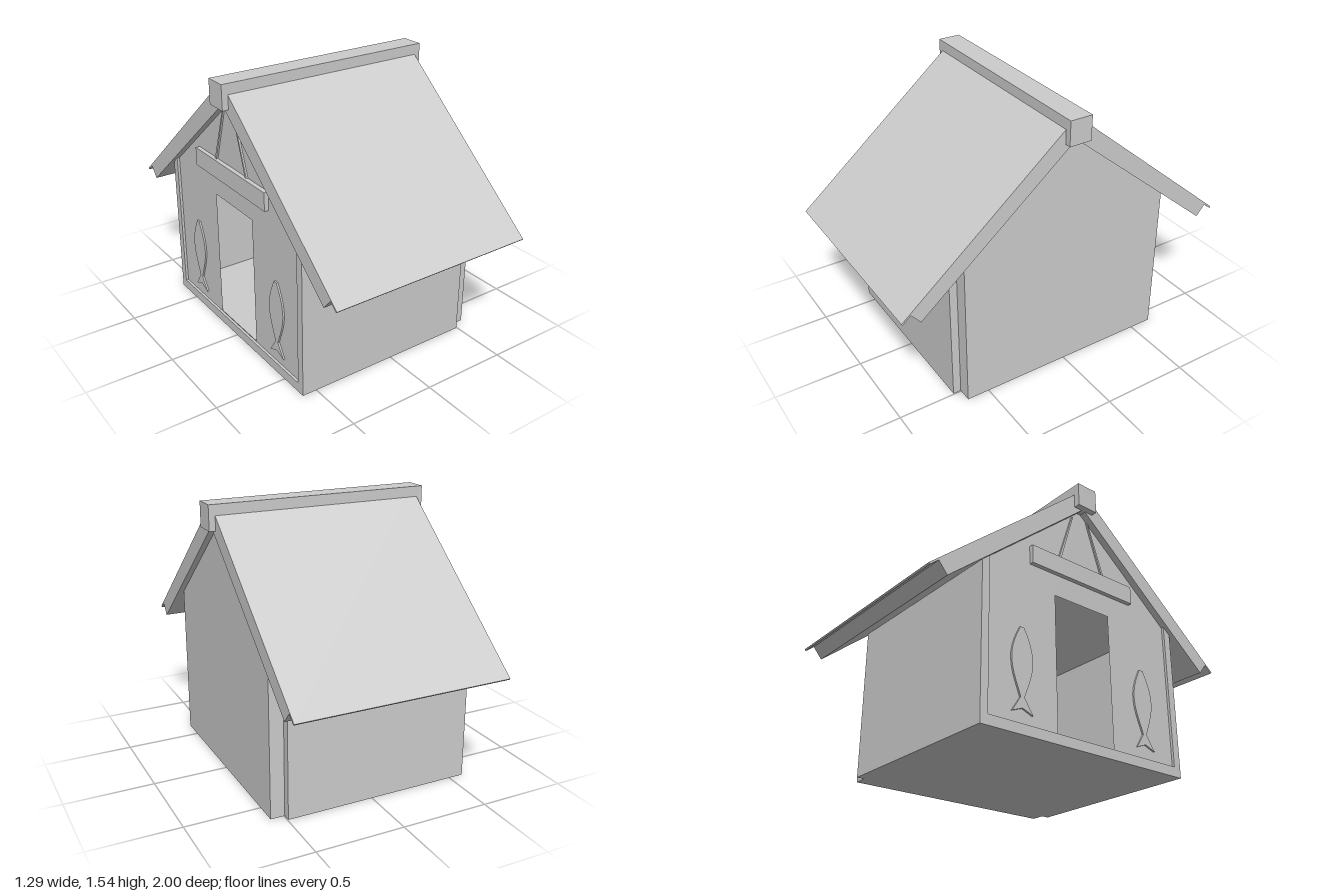
import * as THREE from 'three';

const SLOPE = 0.83, APEX = 1.41;            // underside of the roof
const roofY = z => APEX - SLOPE * Math.abs(z);

export function createModel() {
  const house = new THREE.Group();
  house.name = 'petHouse';
  const mat = new THREE.MeshStandardMaterial({ color: 0xcccccc, flatShading: true });

  const add = (name, geo) => {
    const m = new THREE.Mesh(geo, mat);
    m.name = name;
    house.add(m);
    return m;
  };
  // Extrudes a [z, y] outline along x from x0 to x1
  const toVecs = pts => pts.map(([z, y]) => new THREE.Vector2(-z, y));
  const slab = (name, pts, x0, x1, holes = []) => {
    const shape = new THREE.Shape(toVecs(pts));
    holes.forEach(h => shape.holes.push(new THREE.Path(toVecs(h))));
    const geo = new THREE.ExtrudeGeometry(shape, { depth: x1 - x0, bevelEnabled: false });
    geo.rotateY(Math.PI / 2).translate(x0, 0, 0);
    return add(name, geo);
  };
  const rect = (z0, z1, y0, y1) => [[z0, y0], [z1, y0], [z1, y1], [z0, y1]];
  const gable = y0 => [[-0.63, y0], [0.63, y0], [0.63, roofY(0.63)], [0, APEX], [-0.63, roofY(0.63)]];

  // Floor and the two gable walls
  slab('floor', rect(-0.63, 0.63, 0, 0.055), -0.585, 0.495);
  slab('plainGableWall', gable(0), 0.495, 0.575);
  slab('doorGableWall', gable(0.055), -0.57, -0.52, [rect(-0.19, 0.19, 0.06, 0.82)]);

  // Fish outline, tail down, thin relief beside the door
  const fish = zc => {
    const side = [];
    for (let i = 0; i <= 10; i++) {
      const t = i / 10;
      side.push([0.012 + 0.055 * Math.sin(Math.PI * Math.pow(t, 1.1)), 0.19 + 0.37 * t]);
    }
    const half = [[0, 0.135], [0.065, 0.11], ...side];
    const mirrored = half.slice(1).reverse().map(([z, y]) => [-z, y]);
    return [...half, ...mirrored].map(([z, y]) => [zc + z, y]);
  };

  for (const s of [1, -1]) {
    const flip = pts => pts.map(([z, y]) => [s * z, y]);
    const label = s > 0 ? 'front' : 'back';

    // Side wall with its top cut to the roof pitch
    slab(label + 'Wall', flip([[0.63, 0], [0.675, 0], [0.675, roofY(0.675)], [0.63, roofY(0.63)]]), -0.585, 0.495);

    // Thick roof board and the thin sheet that overhangs it
    slab(label + 'RoofBoard', flip([[0, APEX], [0.895, roofY(0.895)], [0.951, 0.734], [0, 1.523]]), -0.61, 0.61);
    slab(label + 'RoofSheet', flip([[0, 1.523], [0.993, 0.69], [1.0, 0.698], [0, 1.535]]), -0.61, 0.61);

    // Fish ornament and sign cord
    slab('fishOrnament', fish(s * 0.42), -0.58, -0.57);
    slab('signCord', flip([[0.05, 1.36], [0.062, 1.35], [0.165, 1.05], [0.15, 1.05]]), -0.58, -0.57);
  }

  // Ridge beam and sign board over the door
  slab('ridgeBeam', rect(-0.065, 0.065, 1.4, 1.54), -0.645, 0.645);
  slab('signBoard', rect(-0.36, 0.36, 0.945, 1.05), -0.595, -0.57);

  return house;
}
